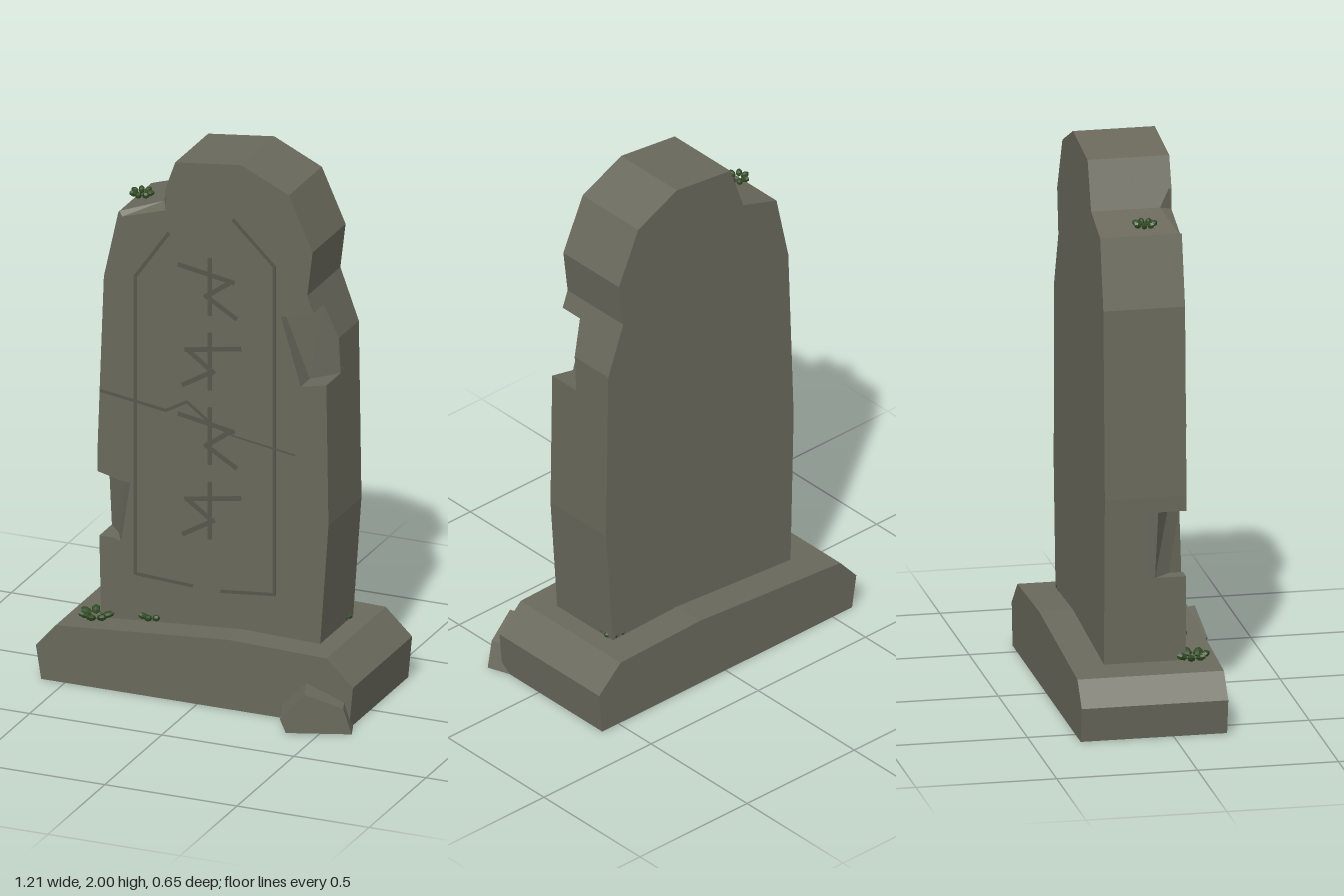
import * as THREE from 'three';

const FRONT = 0.08, SPLIT = -0.06, BACK = -0.21;

export function createModel() {
  const model = new THREE.Group();
  const mat = (name, color) => new THREE.MeshStandardMaterial({ name, color, flatShading: true });
  const stone = mat('weathered stone', 0x6a695c);
  const carved = mat('carved stone', 0x58574c);
  const moss = mat('moss', 0x2f4a22);

  const add = (name, geometry, material, parent = model) => {
    const mesh = new THREE.Mesh(geometry, material);
    mesh.name = name;
    parent.add(mesh);
    return mesh;
  };
  // Straight prism from an xy outline between two depths
  const prism = (points, z0, z1) => {
    const shape = new THREE.Shape(points.map(p => new THREE.Vector2(p[0], p[1])));
    return new THREE.ExtrudeGeometry(shape, { depth: z1 - z0, bevelEnabled: false }).translate(0, 0, z0);
  };
  // Prism whose front corners each have their own depth: the floor of a chip
  const chipFloor = points => {
    const g = prism(points, 0, 1), p = g.attributes.position;
    for (let i = 0; i < p.count; i++) {
      const corner = points.find(c => Math.hypot(c[0] - p.getX(i), c[1] - p.getY(i)) < 1e-4);
      p.setZ(i, p.getZ(i) > 0.5 ? corner[2] : SPLIT);
    }
    g.computeVertexNormals();
    return g;
  };

  // Plinth
  add('plinth', prism([[-0.59, 0], [-0.61, 0.125], [-0.535, 0.21], [0.12, 0.26],
    [0.49, 0.25], [0.59, 0.155], [0.575, 0]], -0.33, 0.19), stone);

  // Chips broken from the front edges: x, y, remaining depth
  const rightChip = [[0.393, 1.487, -0.01], [0.27, 1.455, 0.045], [0.345, 1.205, 0],
    [0.442, 1.225, -0.045], [0.44, 1.36, -0.035]];
  const leftFloor = [[-0.417, 0.525, -0.03], [-0.365, 0.525, 0.03], [-0.34, 0.745, 0.03], [-0.424, 0.765, -0.02]];
  const leftWall = [[-0.365, 0.525, 0.03], [-0.335, 0.515, 0.08], [-0.30, 0.74, 0.08], [-0.34, 0.745, 0.03]];
  const shoulderChip = [[-0.345, 1.75, 0.07], [-0.33, 1.735, 0.08], [-0.2, 1.745, 0.08],
    [-0.165, 1.785, 0.08], [-0.169, 1.86, 0.07], [-0.19, 1.8, 0.035]];

  // Slab: whole outline at the back, outline with the chips cut out at the front
  const foot = [-0.41, 0.2], crown = [[-0.13, 1.97], [0.12, 2.0], [0.30, 1.915], [0.39, 1.715], [0.37, 1.55]];
  const leftSide = [[-0.425, 0.82], [-0.415, 1.1], [-0.40, 1.5], [-0.345, 1.75]];
  const rightSide = [[0.45, 0.7], [0.415, 0.2]];
  add('slabBack', prism([foot, ...leftSide, [-0.19, 1.8], ...crown, [0.44, 1.36], ...rightSide], BACK, SPLIT), stone);
  add('slabFront', prism([foot, leftFloor[0], leftFloor[1], leftWall[1], leftWall[2], leftFloor[2], leftFloor[3],
    ...leftSide, ...shoulderChip.slice(1, 5), ...crown, ...rightChip.slice(0, 4), ...rightSide], SPLIT, FRONT), stone);
  add('rightChip', chipFloor(rightChip), stone);
  add('leftChipFloor', chipFloor(leftFloor), stone);
  add('leftChipWall', chipFloor(leftWall), stone);
  add('shoulderChip', chipFloor(shoulderChip), stone);

  // Thin strokes along a path on the slab face
  const strokes = (name, path, width, parent = model) => {
    for (let i = 1; i < path.length; i++) {
      const [ax, ay] = path[i - 1], [bx, by] = path[i];
      const bar = add(name, new THREE.BoxGeometry(Math.hypot(bx - ax, by - ay) + width * 0.5, width, 0.006), carved, parent);
      bar.position.set((ax + bx) / 2, (ay + by) / 2, FRONT);
      bar.rotation.z = Math.atan2(by - ay, bx - ax);
    }
  };

  // Border, broken at top and bottom
  strokes('borderLeft', [[-0.155, 1.7], [-0.28, 1.52], [-0.28, 0.405], [-0.065, 0.393]], 0.012);
  strokes('borderRight', [[0.09, 1.79], [0.245, 1.64], [0.245, 0.41], [0.045, 0.39]], 0.012);

  // Column of abstract marks, alternately mirrored
  for (let i = 0; i < 4; i++) {
    const s = i % 2 ? 1 : -1, y = 1.53 - i * 0.28;
    const mark = new THREE.Group();
    mark.name = 'carvedMark';
    const at = pts => pts.map(([px, py]) => [px * s, py + y]);
    strokes('stem', at([[0, 0.1], [0, -0.11]]), 0.013, mark);
    strokes('crossbar', at([[-0.09, 0.025], [0.115, 0.06]]), 0.017, mark);
    strokes('upperStroke', at([[-0.075, 0.02], [0.015, -0.045]]), 0.017, mark);
    strokes('lowerStroke', at([[0.015, -0.04], [-0.1, -0.108]]), 0.017, mark);
    model.add(mark);
  }

  // Crack across the slab, thinning to the right
  strokes('crack', [[-0.41, 1.07], [-0.165, 1.035], [-0.085, 1.08], [0.01, 1.01]], 0.011);
  strokes('crackEnd', [[0.01, 1.01], [0.09, 0.98], [0.32, 0.945]], 0.006);

  // Fallen stone leaning on the plinth
  const rubble = add('fallenStone', prism([[0, 0.05], [0.085, 0.145], [0.22, 0.095], [0.25, 0], [0.02, 0]], -0.2, 0), stone);
  rubble.position.set(0.37, 0, 0.32);
  rubble.rotation.y = 0.35;

  // Moss tufts: rings of small faceted leaves
  const leaf = new THREE.SphereGeometry(1, 6, 4);
  const tufts = [[-0.42, 0.235, 0.1, 0.066], [-0.31, 1.778, -0.045, 0.046],
    [-0.22, 0.252, 0.075, 0.05], [0.385, 0.255, -0.172, 0.046]];
  for (const [x, y, z, r] of tufts) {
    const tuft = new THREE.Group();
    tuft.name = 'mossTuft';
    tuft.position.set(x, y, z);
    for (let i = 0; i < 7; i++) {
      const arm = new THREE.Group();
      arm.rotation.y = i / 7 * Math.PI * 2 + 0.2;
      const petal = add('mossLeaf', leaf, moss, arm);
      petal.scale.set(r * 0.36, 0.012, r * 0.25);
      petal.position.set(r * 0.64, 0.004, 0);
      petal.rotation.z = 0.35;
      tuft.add(arm);
    }
    model.add(tuft);
  }
  return model;
}
